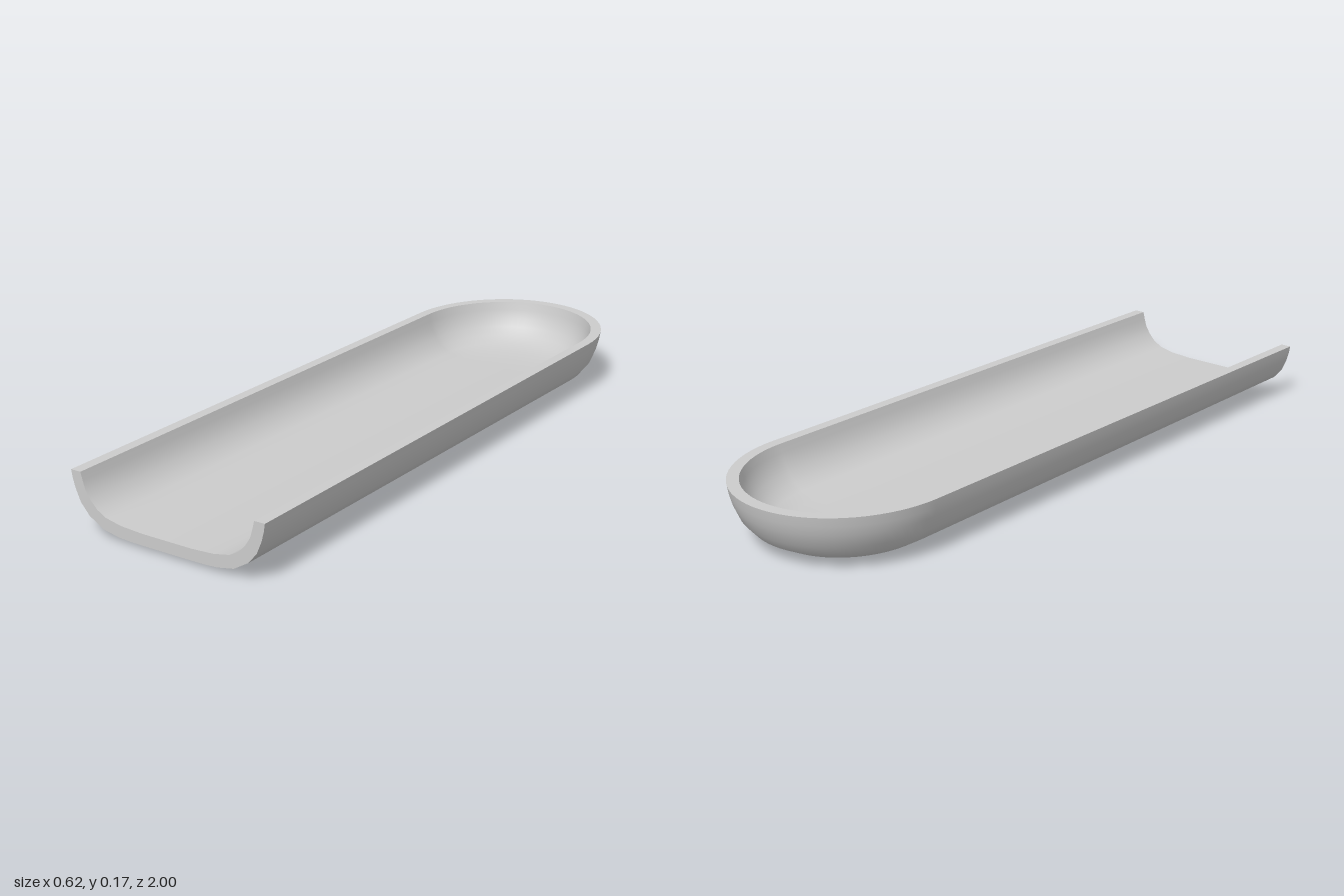
import * as THREE from 'three';

const RIM_Y = 0.168, END_Z = -0.66, FRONT_Z = 1;

// Half sections at the open end: [half width, height]
const outer = [[0, 0.012], [0.06, 0.012], [0.12, 0.0125], [0.16, 0.015], [0.212, 0.025], [0.257, 0.052],
  [0.284, 0.083], [0.3, 0.12], [0.307, 0.145], [0.311, RIM_Y]];
const inner = [[0.279, RIM_Y], [0.273, 0.145], [0.265, 0.12], [0.25, 0.097], [0.229, 0.075], [0.2, 0.059],
  [0.15, 0.049], [0.08, 0.045], [0, 0.045]];

// U-shaped line at half width a: straight side, rounded end, straight side
function outline(a) {
  const pts = [], straight = 10, arc = 36;
  const depth = a * (0.34 / 0.311);
  for (let i = 0; i < straight; i++) pts.push([a, FRONT_Z + (END_Z - FRONT_Z) * i / straight]);
  for (let i = 0; i <= arc; i++) {
    const t = Math.PI * i / arc;
    pts.push([a * Math.cos(t), END_Z - depth * Math.sin(t)]);
  }
  for (let i = straight - 1; i >= 0; i--) pts.push([-a, FRONT_Z + (END_Z - FRONT_Z) * i / straight]);
  return pts;
}

// The floor sinks slightly toward the rounded end; the rim stays level
function sink(y, z) {
  const along = Math.min(1, (FRONT_Z - z) / (FRONT_Z - END_Z));
  return y - 0.012 * along * Math.min(1, (RIM_Y - y) / 0.123);
}

// Sweep a half section around the U
function sweep(section) {
  const pos = [], index = [];
  let cols = 0;
  section.forEach(([a, y]) => {
    const line = outline(a);
    cols = line.length;
    line.forEach(([x, z]) => pos.push(x, sink(y, z), z));
  });
  for (let r = 0; r < section.length - 1; r++) {
    for (let c = 0; c < cols - 1; c++) {
      const p = r * cols + c, q = p + cols;
      index.push(p, p + 1, q, p + 1, q + 1, q);
    }
  }
  const g = new THREE.BufferGeometry();
  g.setAttribute('position', new THREE.Float32BufferAttribute(pos, 3));
  g.setIndex(index);
  g.computeVertexNormals();
  return g;
}

// Flat cut face closing the wall thickness at the open end
function cutFace() {
  const full = (half) => [...half.map(([x, y]) => new THREE.Vector2(x, y))];
  const mirror = (half) => half.map(([x, y]) => new THREE.Vector2(-x, y));
  const pts = [...full(outer), ...full(inner), ...mirror(inner.slice(0, -1).reverse()),
    ...mirror(outer.slice(1).reverse())];
  const g = new THREE.ShapeGeometry(new THREE.Shape(pts));
  g.translate(0, 0, FRONT_Z);
  return g;
}

export function createModel() {
  const group = new THREE.Group();
  group.name = 'trough';
  const material = new THREE.MeshStandardMaterial({ color: 0xcccccc });
  const add = (name, geometry) => {
    const mesh = new THREE.Mesh(geometry, material);
    mesh.name = name;
    group.add(mesh);
  };
  add('outerShell', sweep(outer));
  add('rim', sweep([outer[outer.length - 1], inner[0]]));
  add('innerShell', sweep(inner));
  add('openEndFace', cutFace());
  return group;
}
